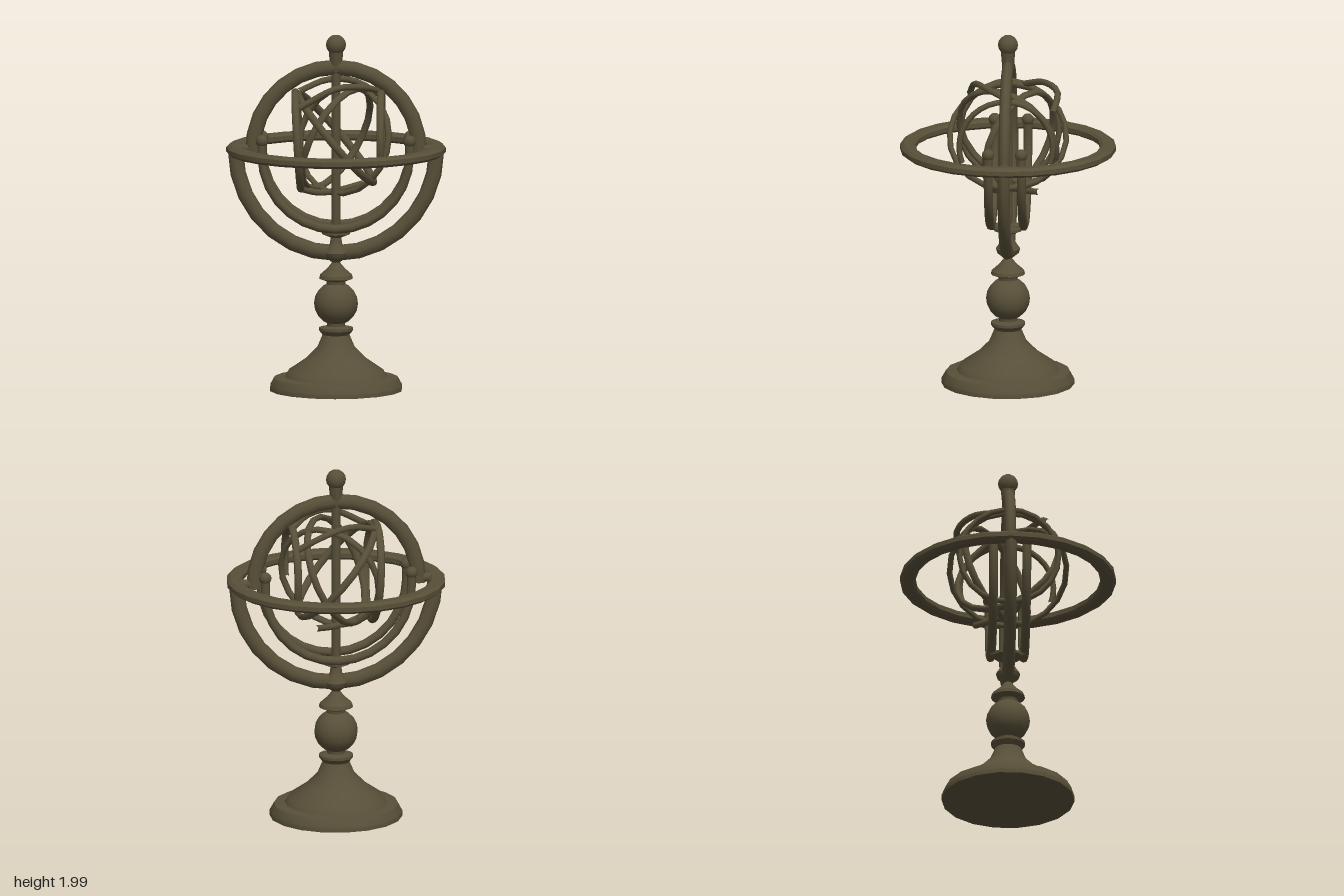
import * as THREE from 'three';
import { toCreasedNormals } from 'three/addons/utils/BufferGeometryUtils.js';

const bronze = new THREE.MeshStandardMaterial({ color: 0x574f38 });
bronze.name = 'dark bronze';

export function createModel() {
  const model = new THREE.Group();

  function add(name, geometry, x = 0, y = 0, z = 0) {
    const mesh = new THREE.Mesh(geometry, bronze);
    mesh.name = name;
    mesh.position.set(x, y, z);
    model.add(mesh);
    return mesh;
  }
  function turned(profile, segments) {
    const points = profile.map(([r, y]) => new THREE.Vector2(r, y));
    return toCreasedNormals(new THREE.LatheGeometry(points, segments), 0.6);
  }
  // Arc in the xy plane between two angles in degrees
  function arc(radius, tube, from, to, segments) {
    const g = new THREE.TorusGeometry(radius, tube, 8, segments, THREE.MathUtils.degToRad(to - from));
    return g.rotateZ(THREE.MathUtils.degToRad(from));
  }

  // Turned foot and stem
  add('foot', turned([
    [0, 0.01], [0.37, 0.01], [0.37, 0.035], [0.345, 0.08], [0.285, 0.085], [0.265, 0.12],
    [0.17, 0.185], [0.105, 0.25], [0.075, 0.32], [0.095, 0.345], [0.095, 0.36], [0.05, 0.37], [0.055, 0.42],
  ], 18));
  add('stemBall', new THREE.SphereGeometry(0.122, 16, 10), 0, 0.495, 0);
  add('stemCollar', turned([
    [0.05, 0.58], [0.055, 0.62], [0.095, 0.635], [0.09, 0.655], [0.05, 0.69], [0.022, 0.725],
    [0.06, 0.755], [0.068, 0.78], [0.035, 0.83], [0.03, 0.865], [0.08, 0.885], [0.08, 0.9], [0, 0.91],
  ], 14));

  // Horizontal ring with chamfered edges
  const horizon = add('horizonRing', turned([
    [0.515, 1.345], [0.53, 1.332], [0.58, 1.33], [0.6, 1.345],
    [0.6, 1.37], [0.58, 1.384], [0.53, 1.382], [0.515, 1.37], [0.515, 1.345],
  ], 24));
  horizon.scale.x = 1.015;

  // Lower half ring that carries the horizon ring
  add('supportArc', arc(0.557, 0.043, 180, 360, 14), 0, 1.35, 0).scale.set(1, 1.03, 0.8);

  // Upper half ring
  add('meridianArc', arc(0.46, 0.043, -3, 183, 14), 0, 1.358, 0).scale.z = 0.75;
  for (const side of [-1, 1]) {
    const bar = add('meridianFoot', new THREE.CylinderGeometry(0.027, 0.027, 0.1, 8), side * 0.49, 1.36, 0);
    bar.rotation.z = Math.PI / 2;
  }

  // Pair of lower cradle arcs with knobbed ends
  for (const z of [-0.092, 0.092]) {
    add('cradleArc', arc(0.41, 0.025, 180, 360, 14), 0, 1.34, z).scale.y = 1.02;
    for (const side of [-1, 1]) {
      add('cradlePost', new THREE.CylinderGeometry(0.025, 0.025, 0.07, 8), side * 0.41, 1.37, z);
      add('cradleKnob', new THREE.SphereGeometry(0.035, 8, 6), side * 0.41, 1.415, z);
    }
  }
  const tie = add('cradleTie', new THREE.CylinderGeometry(0.022, 0.022, 0.2, 8), 0, 0.905, 0);
  tie.rotation.x = Math.PI / 2;

  // Central axis and finial
  add('axisRod', new THREE.CylinderGeometry(0.025, 0.025, 0.95, 8), 0, 1.36, 0);
  add('finialNeck', new THREE.CylinderGeometry(0.042, 0.03, 0.13, 8), 0, 1.86, 0);
  add('finialBall', new THREE.SphereGeometry(0.056, 12, 8), 0, 1.944, 0);

  // Inner bands: circles in tilted planes [normal, offset, radius, start, end]
  const bands = [
    [[1, 0.06, 0], -0.21, 0.275, 0, 360],
    [[1, 0, 0], 0.25, 0.26, -20, 200],
    [[0.76, 0.65, 0], 0, 0.325, 0, 360],
    [[0.8, -0.4, 0.45], 0, 0.31, 0, 360],
    [[0.55, -0.25, -0.8], 0.08, 0.3, 0, 360],
  ];
  for (const [n, offset, radius, from, to] of bands) {
    const normal = new THREE.Vector3(...n).normalize();
    const band = add('innerBand', arc(radius, 0.016, from, to, 20));
    band.scale.z = 1.35;
    band.quaternion.setFromUnitVectors(new THREE.Vector3(0, 0, 1), normal);
    band.position.copy(normal).multiplyScalar(offset).add(new THREE.Vector3(0, 1.42, 0));
  }

  // Short curved links joining the bands above and below
  const links = [
    [[-0.21, 1.67, -0.08], [-0.05, 1.72, -0.2], [0.1, 1.7, -0.28], [0.25, 1.62, -0.26]],
    [[-0.2, 1.62, 0.22], [0, 1.72, 0.18], [0.14, 1.72, 0.1], [0.25, 1.68, -0.03]],
    [[-0.2, 1.15, 0.08], [-0.1, 1.12, 0.03], [0.02, 1.12, -0.08], [0.14, 1.14, -0.18]],
  ];
  for (const link of links) {
    const path = new THREE.CatmullRomCurve3(link.map((p) => new THREE.Vector3(...p)));
    add('bandLink', new THREE.TubeGeometry(path, 10, 0.018, 8));
  }
  return model;
}
